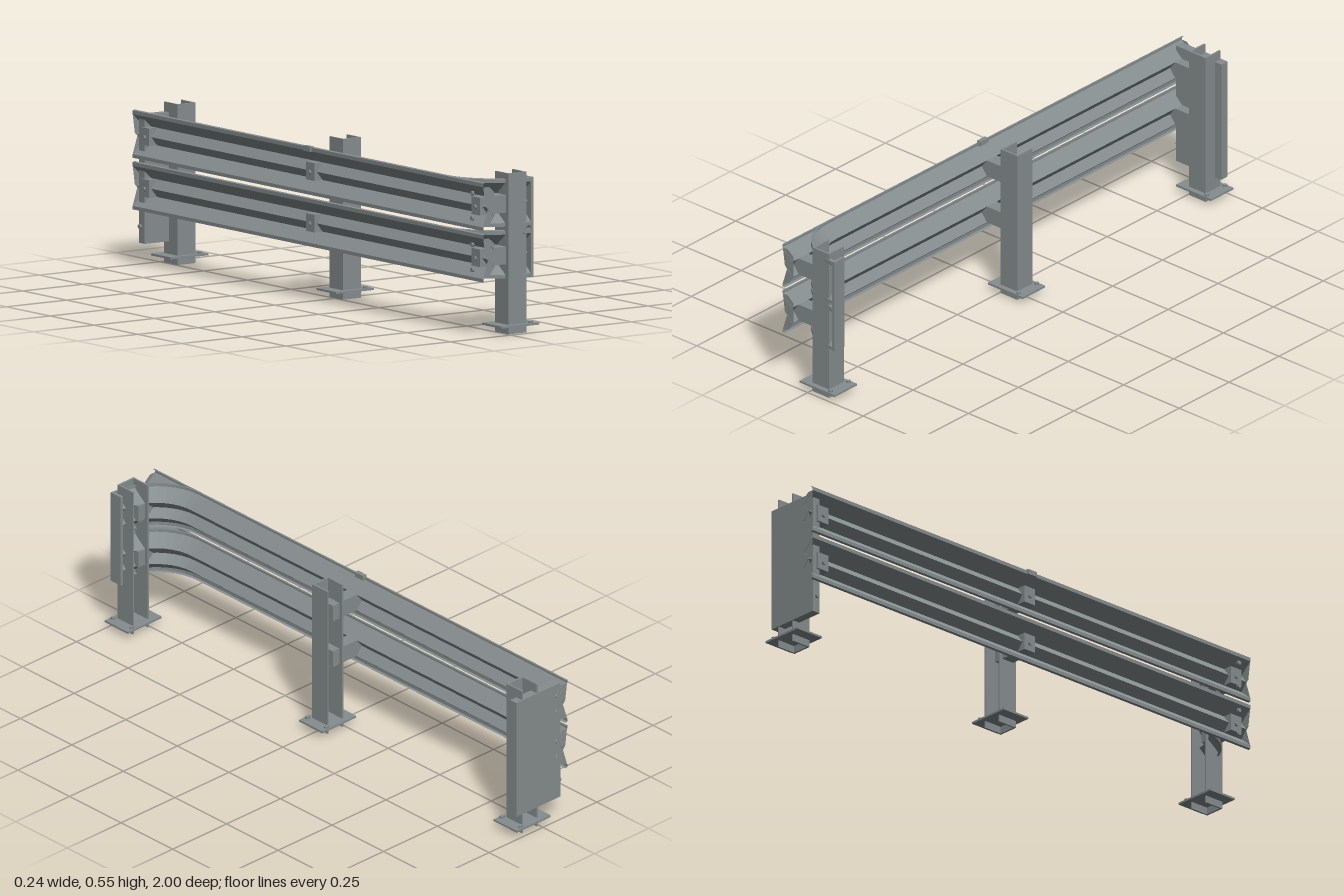
import * as THREE from 'three';

const steel = new THREE.MeshStandardMaterial({ color: 0x868d8e, side: THREE.DoubleSide });
steel.name = 'galvanised steel';

// Box given by its limits on each axis
function box(parent, name, [x0, x1], [y0, y1], [z0, z1]) {
  const mesh = new THREE.Mesh(new THREE.BoxGeometry(x1 - x0, y1 - y0, z1 - z0), steel);
  mesh.position.set((x0 + x1) / 2, (y0 + y1) / 2, (z0 + z1) / 2);
  mesh.name = name;
  parent.add(mesh);
}

function bolt(parent, name, x, y, z, axis, r = 0.008, h = 0.008) {
  const mesh = new THREE.Mesh(new THREE.CylinderGeometry(r, r, h, 6), steel);
  if (axis === 'x') mesh.rotation.z = Math.PI / 2;
  mesh.position.set(x, y, z);
  mesh.name = name;
  parent.add(mesh);
}

// Corrugated beam section: [outward offset, height above the beam's foot]
const section = [
  [0.104, 0.165], [0.113, 0.163], [0.113, 0.15], [0.07, 0.11], [0.094, 0.08],
  [0.07, 0.05], [0.113, 0.014], [0.113, 0.002], [0.104, 0],
];

// Sweep the section along stations {x, z, nx, nz}, faceted
function beam(parent, name, stations, foot) {
  const pos = [];
  const at = (s, [o, h]) => [s.x + s.nx * o, foot + h, s.z + s.nz * o];
  for (let i = 0; i + 1 < stations.length; i++) {
    for (let j = 0; j + 1 < section.length; j++) {
      const a = at(stations[i], section[j]), b = at(stations[i], section[j + 1]);
      const c = at(stations[i + 1], section[j + 1]), d = at(stations[i + 1], section[j]);
      pos.push(...a, ...b, ...c, ...a, ...c, ...d);
    }
  }
  const g = new THREE.BufferGeometry();
  g.setAttribute('position', new THREE.Float32BufferAttribute(pos, 3));
  g.computeVertexNormals();
  const mesh = new THREE.Mesh(g, steel);
  mesh.name = name;
  parent.add(mesh);
}

// Fishtail plate across the end of a straight beam
function endCap(parent, foot, z) {
  const s = new THREE.Shape([
    [-0.113, 0.15], [-0.104, 0.085], [-0.094, 0.075], [-0.113, 0.014],
    [-0.09, 0.02], [-0.066, 0.05], [-0.066, 0.13], [-0.09, 0.15],
  ].map(([x, y]) => new THREE.Vector2(x, y)));
  const mesh = new THREE.Mesh(new THREE.ShapeGeometry(s), steel);
  mesh.position.set(0, foot, z);
  mesh.name = 'beamEndCap';
  parent.add(mesh);
}

// Channel post, open to the back, with base plate and anchors
function post(z) {
  const g = new THREE.Group();
  g.name = 'post';
  box(g, 'postWeb', [0.004, 0.079], [0, 0.545], [0.031, 0.0375]);
  box(g, 'postInnerFlange', [0.004, 0.01], [0, 0.545], [-0.0375, 0.031]);
  box(g, 'postOuterFlange', [0.073, 0.079], [0, 0.545], [-0.0375, 0.031]);
  box(g, 'basePlate', [-0.037, 0.12], [0.025, 0.032], [-0.056, 0.056]);
  for (const s of [-1, 1]) bolt(g, 'anchorBolt', 0.092, 0.035, s * 0.045, 'y');
  g.position.z = z;
  return g;
}

export function createModel() {
  const model = new THREE.Group();
  model.name = 'guardrail';
  const feet = [0.186, 0.361];
  const postZ = [-0.943, 0, 0.943];

  // Straight path, and the bend that turns behind the front post
  const straight = [-1, 1].map((z) => ({ x: 0, z, nx: -1, nz: 0 }));
  const bend = [];
  for (let i = 0; i <= 10; i++) {
    const a = (i / 10) * Math.PI / 2;
    const nx = -Math.cos(a), nz = Math.sin(a);
    bend.push({ x: 0.09 + nx * 0.09, z: 0.78 + nz * 0.09, nx, nz });
  }
  // Keep the bend's outer face at the straight beam's depth
  for (const s of bend) s.z -= s.nz * 0.0;
  bend.push({ x: 0.1, z: 0.87, nx: 0, nz: 1 });

  for (const foot of feet) {
    beam(model, 'straightBeam', straight, foot);
    beam(model, 'curvedBeam', bend, foot);
    for (const z of [-0.999, 0.999]) endCap(model, foot, z);
    // Spacers run through the beam into the post
    for (const z of postZ) {
      box(model, 'spacer', [-0.104, 0.04], [foot + 0.05, foot + 0.11], [z - 0.024, z + 0.024]);
      bolt(model, 'spacerBolt', -0.107, foot + 0.077, z, 'x');
    }
    for (const h of [0.039, 0.124]) bolt(model, 'beamBolt', -0.118, foot + h, 0.943, 'x');
  }

  for (const z of postZ) model.add(post(z));

  // Closing strip on the bend, end plate at the back, rim clip at the middle
  box(model, 'bendEndStrip', [0.096, 0.107], [0.186, 0.525], [0.935, 0.984]);
  box(model, 'endPlate', [-0.097, 0.107], [0.075, 0.512], [-0.984, -0.953]);
  bolt(model, 'endPlateBolt', -0.104, 0.133, -0.97, 'x');
  box(model, 'rimClip', [-0.119, -0.104], [0.51, 0.528], [-0.02, 0.02]);

  return model;
}
